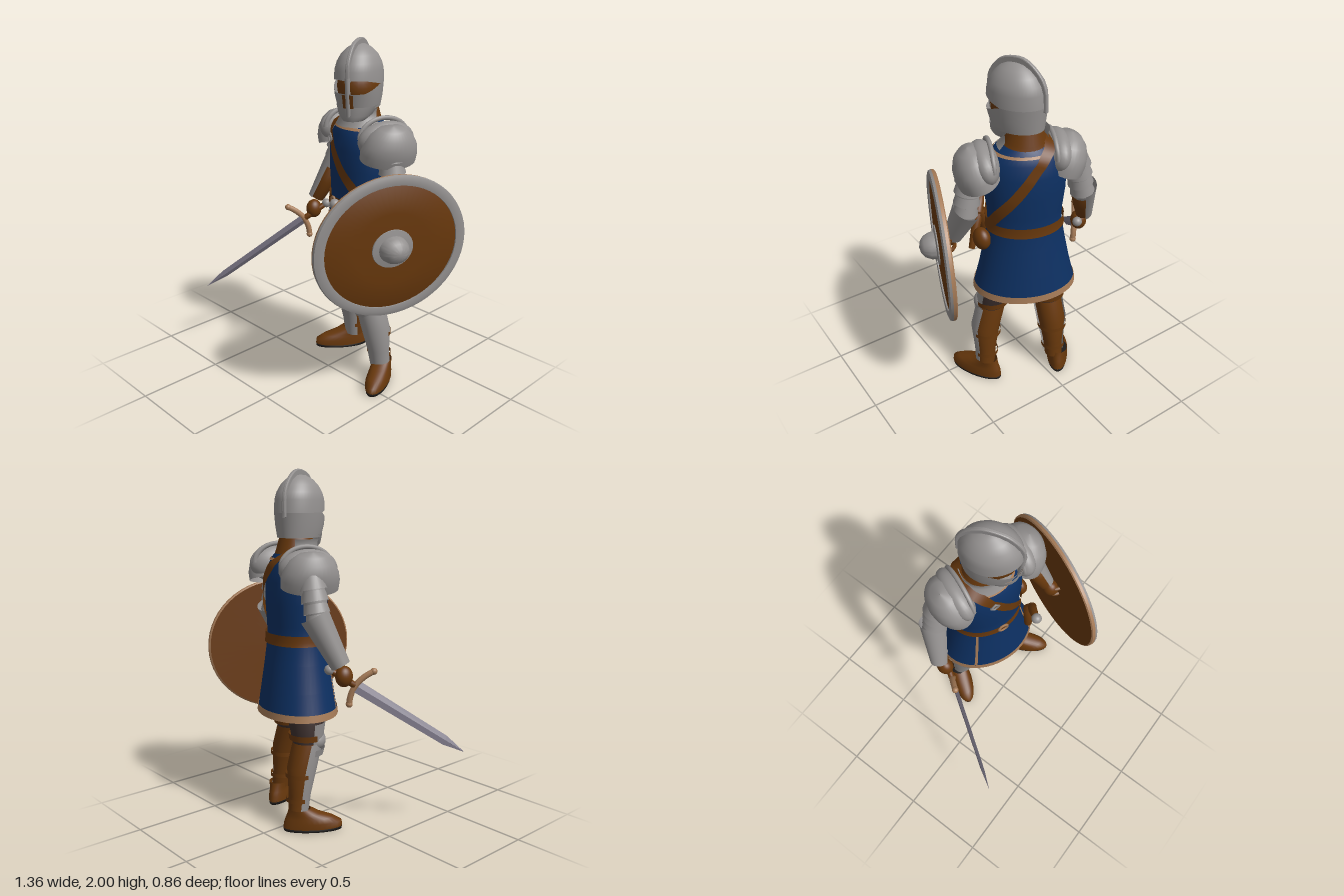
import * as THREE from 'three';
import { toCreasedNormals } from 'three/addons/utils/BufferGeometryUtils.js';

const mat = (name, color) => new THREE.MeshStandardMaterial({ name, color, side: THREE.DoubleSide });
const steel = mat('steel', 0x949190), cloth = mat('blue cloth', 0x0d3062), leather = mat('brown leather', 0x68380c),
  tan = mat('tan trim', 0xa67b57), wool = mat('dark wool', 0x3d302e), blade = mat('blade steel', 0x7c7786), sole = mat('sole', 0x1d1a19);
const V = (x, y, z) => new THREE.Vector3(x, y, z);
const UP = V(0, 1, 0);

function add(parent, name, geo, material, pos) {
  const m = new THREE.Mesh(geo, material);
  m.name = name;
  if (pos) m.position.set(...pos);
  parent.add(m);
  return m;
}

// Skin over elliptical sections [y, rx, rz, cx, cz], listed upward; angle 0 faces +z
function loft(sections, start = 0, len = Math.PI * 2, seg = 32) {
  const full = len > 6.28, cols = full ? seg : seg + 1, pos = [], idx = [];
  for (const [y, rx, rz, cx = 0, cz = 0] of sections)
    for (let j = 0; j < cols; j++) {
      const a = start + len * j / seg;
      pos.push(cx + rx * Math.sin(a), y, cz + rz * Math.cos(a));
    }
  for (let i = 0; i < sections.length - 1; i++)
    for (let j = 0; j < seg; j++) {
      const a = i * cols + j, b = i * cols + (j + 1) % cols;
      idx.push(a, b, b + cols, a, b + cols, a + cols);
    }
  const g = new THREE.BufferGeometry();
  g.setAttribute('position', new THREE.Float32BufferAttribute(pos, 3));
  g.setIndex(idx);
  g.computeVertexNormals();
  return g;
}

// Tapered limb from a (low) to b (high); start and len make an open shell
function limb(parent, name, a, b, ra, rb, material, start, len) {
  const A = V(...a), d = V(...b).sub(A), h = d.length();
  const m = add(parent, name, loft(len ? [[0, ra, ra], [h, rb, rb]]
    : [[0, .001, .001], [0.001, ra, ra], [h / 2, (ra + rb) / 2 * 1.06, (ra + rb) / 2 * 1.06], [h, rb, rb], [h + .001, .001, .001]], start, len, 24), material, a);
  m.quaternion.setFromUnitVectors(UP, d.normalize());
  return m;
}

function ball(parent, name, pos, size, material) {
  const m = add(parent, name, new THREE.SphereGeometry(1, 28, 18), material, pos);
  m.scale.set(...size);
  return m;
}

const lathe = (pts) => toCreasedNormals(new THREE.LatheGeometry(pts.map(p => new THREE.Vector2(...p)), 56), 0.6).rotateX(Math.PI / 2);

// Tunic half-sizes by height
const TUNIC = [[.66, .292, .22], [.8, .258, .2], [.95, .228, .178], [1.08, .205, .162], [1.16, .208, .163], [1.28, .222, .17],
  [1.4, .225, .168], [1.48, .205, .153], [1.53, .16, .13], [1.57, .1, .1]];
function girth(y) {
  let i = 0;
  while (i < TUNIC.length - 2 && TUNIC[i + 1][0] < y) i++;
  const [a, b] = [TUNIC[i], TUNIC[i + 1]], t = THREE.MathUtils.clamp((y - a[0]) / (b[0] - a[0]), 0, 1);
  return [a[1] + (b[1] - a[1]) * t, a[2] + (b[2] - a[2]) * t];
}
const band = (ys, grow, start, len, seg) => loft(ys.map(y => { const [x, z] = girth(y); return [y, x + grow, z + grow]; }), start, len, seg);

// Strap that runs over the right shoulder to the left hip and back
function strapGeometry() {
  const front = [[-.11, 1.555], [-.02, 1.45], [.08, 1.31], [.16, 1.19], [.2, 1.1]];
  const at = ([x, y], s) => { const [rx, rz] = girth(y); return V(x, y, s * rz * Math.sqrt(Math.max(.02, 1 - (x / rx) ** 2))); };
  const path = new THREE.CatmullRomCurve3([...front.map(p => at(p, 1)), ...front.map(p => at(p, -1)).reverse()], true);
  const pos = [], idx = [], N = 80;
  for (let i = 0; i <= N; i++) {
    const p = path.getPointAt(i / N % 1), t = path.getTangentAt(i / N % 1), [rx, rz] = girth(p.y);
    const k = 1 / Math.hypot(p.x / rx, p.z / rz);
    const n = V(p.x / rx ** 2, Math.max(0, p.y - 1.48) * 200, p.z / rz ** 2).normalize();
    const w = n.clone().cross(t).normalize().multiplyScalar(.029);
    p.set(p.x * k, p.y, p.z * k).addScaledVector(n, .013);
    pos.push(...p.clone().add(w).toArray(), ...p.clone().sub(w).toArray());
    if (i < N) idx.push(2 * i, 2 * i + 1, 2 * i + 3, 2 * i, 2 * i + 3, 2 * i + 2);
  }
  const g = new THREE.BufferGeometry();
  g.setAttribute('position', new THREE.Float32BufferAttribute(pos, 3));
  g.setIndex(idx);
  g.computeVertexNormals();
  return g;
}

function makeTorso() {
  const g = new THREE.Group();
  g.name = 'torso';
  g.position.set(.072, 0, -.19);
  g.rotation.y = -.39;
  add(g, 'tunic', band(TUNIC.map(s => s[0]), 0, 0, 6.2832, 48), cloth);
  add(g, 'hemTrim', band([.65, .69], .005, 0, 6.2832, 48), tan);
  for (const a of [-.68, .95]) add(g, 'panelTrim', band([.69, .8, .95, 1.06], .004, a, .07, 2), tan);
  add(g, 'belt', band([1.055, 1.08, 1.115], .012, 0, 6.2832, 48), leather);
  add(g, 'beltBuckle', new THREE.TorusGeometry(.028, .007, 6, 20), tan, [.02, 1.085, .178]);
  add(g, 'shoulderStrap', strapGeometry(), leather);
  add(g, 'strapBuckle', new THREE.TorusGeometry(.026, .006, 6, 4), steel, [-.03, 1.45, .178]).rotation.z = -.12;
  add(g, 'neckTrim', loft([[1.515, .18, .145], [1.528, .166, .136]], 0, 6.2832, 40), tan);
  add(g, 'neckScarf', loft([[1.52, .15, .125], [1.57, .11, .11], [1.68, .08, .08]]), leather);
  add(g, 'gorget', loft([[1.525, .16, .14], [1.57, .12, .12], [1.61, .12, .12], [1.63, .128, .128]], -1.9, 3.8), steel);
  // Bell-shaped shoulder plates with a raised inner rim
  const bell = [[-.1, .115, .16], [-.05, .118, .162], [0, .112, .15], [.05, .09, .12], [.085, .055, .075], [.1, .001, .001]];
  for (const [s, x, z] of [[-1, -.23, .015], [1, .283, -.045]]) {
    add(g, 'pauldron', loft(bell), steel, [x, 1.475, z]).rotation.z = -s * .3;
    ball(g, 'pauldronWing', [x - s * .055, 1.475, z], [.078, .11, .165], steel).rotation.z = -s * .2;
    const rim = add(g, 'pauldronRim', new THREE.TorusGeometry(.108, .013, 8, 32, Math.PI), steel, [x - s * .085, 1.485, z]);
    rim.rotation.y = Math.PI / 2;
    rim.scale.x = 1.3;
  }
  return g;
}

// Pulls one ring of a shell up or down toward the front, opening an eye slit
function notch(geo, ring, shift) {
  const p = geo.attributes.position;
  for (let i = 0; i < p.count; i++)
    if (Math.abs(p.getY(i) - ring) < .0001) p.setY(i, ring + shift * THREE.MathUtils.clamp((p.getZ(i) - .02) / .11, 0, 1));
  geo.computeVertexNormals();
  return geo;
}

function makeHelmet() {
  const g = new THREE.Group();
  g.name = 'helmet';
  g.position.set(.092, 0, -.145);
  g.rotation.y = .38;
  ball(g, 'head', [0, 1.75, 0], [.115, .14, .145], leather);
  add(g, 'chinGuard', loft([[1.57, .06, .075, 0, .065], [1.6, .092, .11, 0, .04], [1.65, .116, .15, 0, .002]], -1.75, 3.5), steel);
  add(g, 'visor', notch(loft([[1.635, .113, .148, 0, -.006], [1.7, .126, .161], [1.77, .131, .168]], 0, 6.2832, 48), 1.77, -.045), steel);
  const dome = [[1.77, .131, .168], [1.84, .129, .163], [1.88, .118, .15], [1.92, .097, .122], [1.95, .068, .088], [1.97, .034, .045], [1.975, .001, .001]];
  add(g, 'dome', notch(loft(dome, 0, 6.2832, 48), 1.77, .025), steel);
  for (const s of [-1, 1]) add(g, 'breathSlit', loft([[1.645, .118, .152, 0, .002], [1.72, .131, .167, 0, .003]], s * .17 - .08, .16, 6), leather);
  // Crest runs from brow to nape
  const shape = new THREE.Shape().moveTo(.172, 1.79);
  shape.splineThru([[.165, 1.88], [.12, 1.95], [.06, 1.988], [-.04, 1.995], [-.125, 1.94], [-.17, 1.86], [-.176, 1.75]].map(p => new THREE.Vector2(...p)));
  shape.lineTo(-.14, 1.75).lineTo(-.1, 1.88).lineTo(0, 1.94).lineTo(.1, 1.88).lineTo(.14, 1.79);
  const crest = new THREE.ExtrudeGeometry(shape, { depth: .01, bevelSize: .006, bevelThickness: .006, bevelSegments: 2, curveSegments: 28 });
  add(g, 'crest', crest.rotateY(-Math.PI / 2).translate(.005, 0, 0), steel);
  limb(g, 'noseRidge', [0, 1.6, .146], [0, 1.81, .168], .012, .014, steel);
  return g;
}

// pts: thigh, above knee, knee, calf, ankle as [x, y, z]; yaw is where the toes point
function makeLeg(side, pts, foot, yaw, footYaw) {
  const g = new THREE.Group();
  g.name = side + 'Leg';
  const R = [.115, .1, .08, .08, .052];
  const rings = (ids, grow) => ids.map(i => [pts[i][1], R[i] + grow, R[i] + grow, pts[i][0], pts[i][2]]);
  const low = pts[4].map((v, k) => v + (pts[3][k] - v) * .4);
  const shin = (grow) => [...rings([4], grow), [low[1], .058 + grow, .058 + grow, low[0], low[2]], ...rings([3, 2], grow)];
  add(g, 'trousers', loft(rings([2, 1, 0], 0)), wool);
  add(g, 'boot', loft(shin(0)), leather);
  add(g, 'greave', loft(shin(.01), yaw - 1.5, 3), steel);
  add(g, 'thighPlate', loft(rings([2, 1], .01), yaw - 1.35, 2.7), steel);
  const [kx, ky, kz] = pts[2], sx = Math.sin(yaw), cz = Math.cos(yaw);
  const knee = ball(g, 'kneeCop', [kx + sx * .04, ky + .01, kz + cz * .04], [.083, .062, .068], steel);
  knee.rotation.y = yaw;
  add(g, 'kneeFlange', loft([[ky - .07, .092, .092, kx, kz], [ky - .03, .102, .102, kx, kz]], yaw - 1.3, 2.6), steel);
  add(g, 'kneeStrap', loft([[ky + .02, .099, .099, kx, kz], [ky + .055, .103, .103, kx, kz]], yaw + 1.2, 3.9), leather);
  for (const t of [.3, .85]) {
    const [a, b] = [pts[4], pts[3]], r = R[4] + (R[3] - R[4]) * t + .01;
    const c = [0, 1, 2].map(k => a[k] + (b[k] - a[k]) * t);
    add(g, 'greaveStrap', loft([[c[1] - .012, r, r, c[0], c[2]], [c[1] + .012, r, r, c[0], c[2]]], yaw + 1.3, 3.7), leather);
  }
  const shoe = new THREE.Group();
  shoe.name = side + 'Shoe';
  shoe.position.set(foot[0], 0, foot[1]);
  shoe.rotation.y = footYaw;
  add(shoe, 'sole', loft([[0, .001, .001], [0.001, .061, .165], [.022, .064, .168], [.023, .001, .001]]), sole);
  add(shoe, 'upper', loft([[.018, .065, .168], [.05, .066, .164], [.076, .06, .138, 0, -.018], [.1, .057, .095, 0, -.05], [.13, .057, .062, 0, -.075]]), leather);
  g.add(shoe);
  return g;
}

function makeArm(side, shoulder, elbow, wrist, hand, s) {
  const g = new THREE.Group();
  g.name = side + 'Arm';
  limb(g, 'sleeve', elbow, shoulder, .055, .065, steel);
  const at = (t) => shoulder.map((v, k) => v + (elbow[k] - v) * t);
  for (let i = 0; i < 4; i++) limb(g, 'armPlate', at(.25 * i + .27), at(.25 * i - .02), .078 - i * .003, .064 - i * .003, steel, 0, 6.2832);
  ball(g, 'elbowCop', elbow, [.064, .062, .066], steel);
  limb(g, 'gloveCuff', wrist, elbow, .042, .062, leather);
  limb(g, 'vambrace', wrist, elbow.map((v, k) => v + (v - wrist[k]) * .2), .054, .082, steel, s * (Math.PI / 2 + .1) - 1.85, 3.7);
  ball(g, 'hand', hand, [.045, .058, .05], leather);
  return g;
}

function makeSword() {
  const g = new THREE.Group(), G = V(-.34, .86, -.125), y = V(-.68, .45, .4).sub(G), L = y.length();
  g.name = 'sword';
  y.normalize();
  const z = V(-.13, .155, .17).cross(y).normalize(), x = y.clone().cross(z);
  g.quaternion.setFromRotationMatrix(new THREE.Matrix4().makeBasis(x, y, z));
  g.position.copy(G);
  add(g, 'blade', toCreasedNormals(loft([[0, .035, .009], [L * .82, .028, .007], [L, .001, .001]], 0, 6.2832, 4), .2), blade).rotation.y = -.4;
  const arc = new THREE.QuadraticBezierCurve3(V(-.105, .035, 0), V(0, -.03, 0), V(.12, .045, 0));
  add(g, 'guard', new THREE.TubeGeometry(arc, 20, .017, 8), tan);
  ball(g, 'guardTip', [-.105, .035, 0], [.019, .019, .019], tan);
  ball(g, 'guardTip', [.12, .045, 0], [.019, .019, .019], tan);
  limb(g, 'grip', [0, -.15, 0], [0, 0, 0], .017, .018, leather);
  ball(g, 'pommel', [0, -.165, 0], [.028, .028, .028], steel);
  return g;
}

function makeShield() {
  const g = new THREE.Group();
  g.name = 'shield';
  g.position.set(.49, .95, .01);
  g.rotation.set(.03, 1.18, 0, 'YXZ');
  g.scale.x = 1.11;
  add(g, 'board', lathe([[.001, -.012], [.396, -.02], [.396, -.006], [.37, .01], [.2, .022], [.001, .026]]), leather);
  add(g, 'rim', lathe([[.406, .002], [.402, .016], [.378, .024], [.352, .02], [.352, 0]]), steel);
  add(g, 'rimEdge', lathe([[.396, -.02], [.404, -.014], [.406, .002]]), tan);
  add(g, 'boss', lathe([[.11, .018], [.108, .03], [.076, .036], [.072, .065], [.056, .098], [.032, .117], [.001, .124]]), steel);
  for (const y of [.05, -.02]) add(g, 'armStrap', new THREE.TorusGeometry(.06, .012, 6, 20, Math.PI), leather, [-.01, y, -.012]).rotation.x = -Math.PI / 2;
  return g;
}

export function createModel() {
  const model = new THREE.Group();
  model.name = 'knight';
  model.add(makeTorso(), makeHelmet(), makeSword(), makeShield());
  model.add(makeLeg('right', [[0, .78, -.23], [-.06, .62, -.235], [-.065, .5, -.235], [-.068, .36, -.28], [-.068, .1, -.31]], [-.14, -.256], -.45, -.62));
  model.add(makeLeg('left', [[.16, .78, -.16], [.222, .62, -.13], [.243, .5, -.105], [.288, .36, -.11], [.312, .1, -.135]], [.347, -.082], .46, .46));
  model.add(makeArm('right', [-.18, 1.44, -.295], [-.242, 1.2, -.295], [-.325, .98, -.215], [-.32, .915, -.185], -1));
  model.add(makeArm('left', [.36, 1.44, -.115], [.4, 1.19, -.11], [.425, 1.0, -.01], [.43, .975, .025], 1));
  // Dagger and pouches on the belt
  limb(model, 'daggerScabbard', [.31, .86, -.01], [.235, 1.05, .03], .018, .028, leather);
  limb(model, 'daggerGrip', [.235, 1.05, .03], [.17, 1.125, .1], .026, .02, leather);
  ball(model, 'daggerPommel', [.165, 1.135, .11], [.03, .03, .03], steel);
  limb(model, 'frontPouch', [.19, .91, .04], [.215, 1.06, .025], .022, .035, leather);
  ball(model, 'hipPouch', [.315, 1.0, -.13], [.045, .065, .06], leather);
  return model;
}
